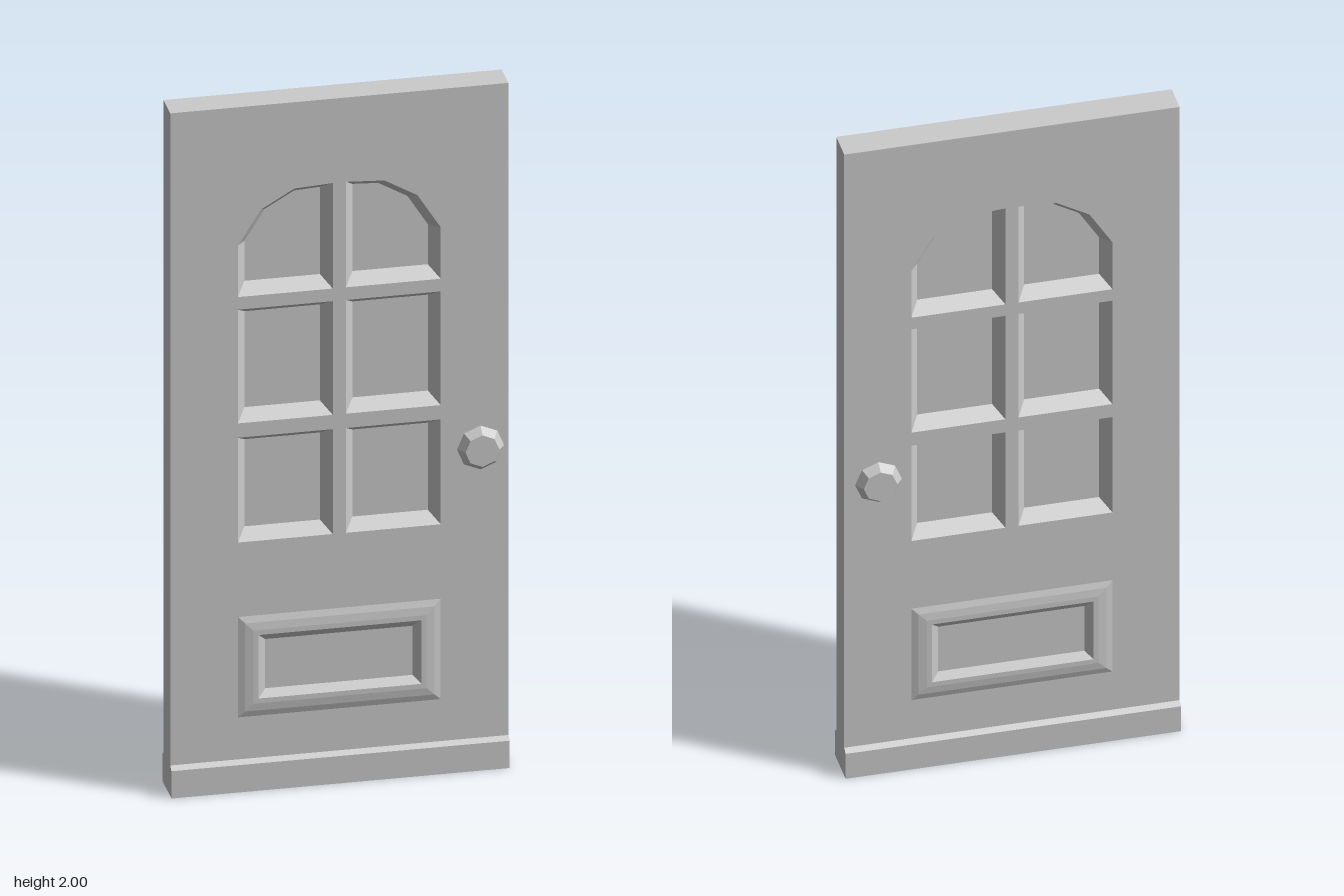
import * as THREE from 'three';
import { mergeGeometries } from 'three/addons/utils/BufferGeometryUtils.js';

const HALF_W = 0.459, FACE_Z = 0.043, BASE_TOP = 0.09, PANE_Z = 0.001;
const material = new THREE.MeshStandardMaterial({ color: 0xcccccc, flatShading: true });

function addMesh(parent, name, geometry) {
  const mesh = new THREE.Mesh(geometry, material);
  mesh.name = name;
  parent.add(mesh);
  return mesh;
}

// Counter-clockwise rectangle outline
const rect = (x0, y0, x1, y1) => [[x0, y0], [x1, y0], [x1, y1], [x0, y1]];
const mirrorX = (pts) => pts.map(([x, y]) => [-x, y]).reverse();
const toVectors = (pts) => pts.map(([x, y]) => new THREE.Vector2(x, y));

// Moves every edge of a convex outline inward by d
function inset(pts, d) {
  const n = pts.length;
  const normal = (i) => {
    const [ax, ay] = pts[i % n], [bx, by] = pts[(i + 1) % n];
    return new THREE.Vector2(ay - by, bx - ax).normalize();
  };
  return pts.map(([x, y], i) => {
    const a = normal(i + n - 1), b = normal(i);
    const k = d / (1 + a.dot(b));
    return [x + (a.x + b.x) * k, y + (a.y + b.y) * k];
  });
}

// Flat-sided skin through rings of [outline, z]
function loft(rings) {
  const pos = [];
  for (let r = 0; r + 1 < rings.length; r++) {
    const [a, za] = rings[r], [b, zb] = rings[r + 1];
    a.forEach((p, i) => {
      const j = (i + 1) % a.length;
      pos.push(...p, za, ...a[j], za, ...b[j], zb);
      pos.push(...p, za, ...b[j], zb, ...b[i], zb);
    });
  }
  const geometry = new THREE.BufferGeometry();
  geometry.setAttribute('position', new THREE.Float32BufferAttribute(pos, 3));
  geometry.computeVertexNormals();
  return geometry;
}

// Flat front-facing sheet, optionally with holes
function sheet(outline, z, holes = []) {
  const shape = new THREE.Shape(toVectors(outline));
  holes.forEach((h) => shape.holes.push(new THREE.Path(toVectors([...h].reverse()))));
  const geometry = new THREE.ShapeGeometry(shape).toNonIndexed().translate(0, 0, z);
  geometry.deleteAttribute('uv');
  return geometry;
}

// Window outlines: two rows of rectangles under an arched pair
function windowOutlines() {
  const right = [
    rect(0.018, 0.725, 0.275, 1.032),
    rect(0.018, 1.074, 0.275, 1.407),
    [[0.018, 1.444], [0.275, 1.444], [0.275, 1.595], [0.212, 1.695], [0.122, 1.747], [0.018, 1.753]],
  ];
  return [...right, ...right.map(mirrorX)];
}

// One face of the door; the other is this turned half way round
function createDoorSide(name) {
  const side = new THREE.Group();
  side.name = name;
  const outline = rect(-HALF_W, BASE_TOP, HALF_W, 2);
  const windows = windowOutlines();
  const panel = rect(-0.275, 0.213, 0.275, 0.507);

  addMesh(side, 'doorSlab', mergeGeometries([
    sheet(outline, FACE_Z, [...windows, panel]),
    loft([[outline, 0], [outline, FACE_Z]]),
  ]));

  // Sloping reveals and their panes
  windows.forEach((w) => {
    const inner = inset(w, 0.026);
    addMesh(side, 'windowReveal', loft([[w, FACE_Z], [inner, PANE_Z]]));
    addMesh(side, 'windowPane', sheet(inner, PANE_Z));
  });

  // Raised moulding around the sunken lower panel
  const field = inset(panel, 0.075);
  addMesh(side, 'panelMoulding', loft([
    [panel, FACE_Z],
    [inset(panel, 0.018), 0.049],
    [inset(panel, 0.04), 0.052],
    [inset(panel, 0.054), 0.052],
    [field, 0.036],
  ]));
  addMesh(side, 'lowerPanel', sheet(field, 0.036));
  return side;
}

// Eight-sided knob standing out along +z
function createKnob(name) {
  const profile = toVectors([[0.032, 0.04], [0.064, 0.082], [0.046, 0.106], [0, 0.106]]);
  const geometry = new THREE.LatheGeometry(profile, 8).rotateX(Math.PI / 2);
  const knob = new THREE.Mesh(geometry, material);
  knob.name = name;
  return knob;
}

export function createModel() {
  const door = new THREE.Group();
  door.name = 'door';

  const back = createDoorSide('backSide');
  back.rotation.y = Math.PI;
  door.add(createDoorSide('frontSide'), back);

  // Kick board with chamfered top edges, run along the width
  const profile = new THREE.Shape(toVectors([
    [-0.058, 0], [0.058, 0], [0.058, 0.08], [FACE_Z, BASE_TOP], [-FACE_Z, BASE_TOP], [-0.058, 0.08],
  ]));
  const board = new THREE.ExtrudeGeometry(profile, { depth: HALF_W * 2, bevelEnabled: false });
  addMesh(door, 'kickBoard', board.translate(0, 0, -HALF_W).rotateY(Math.PI / 2));

  // A knob on each face
  ['frontKnob', 'backKnob'].forEach((name, i) => {
    const knob = createKnob(name);
    knob.position.set(0.375, 0.958, 0);
    knob.rotation.y = i * Math.PI;
    door.add(knob);
  });
  return door;
}
